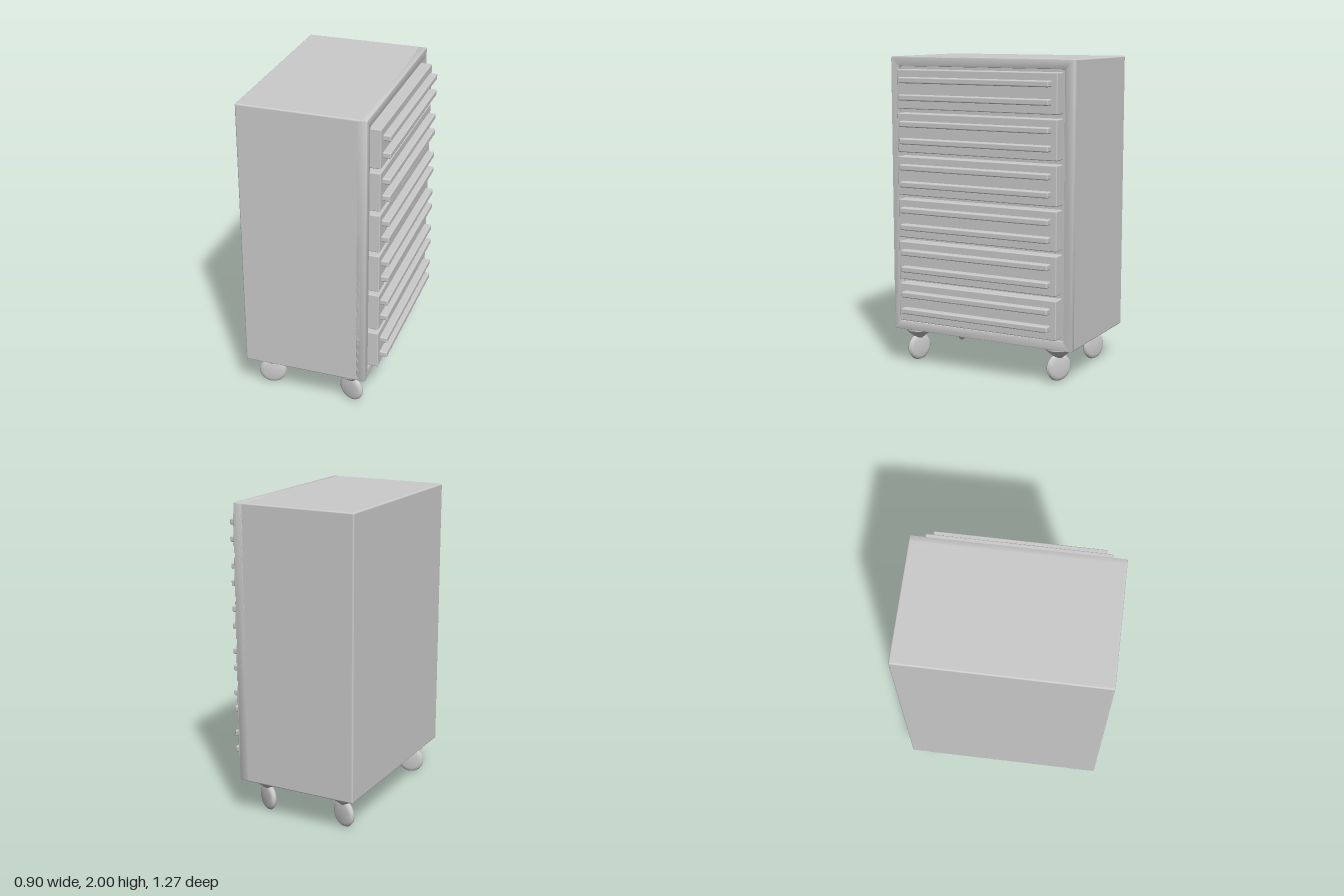
import * as THREE from 'three';
import { RoundedBoxGeometry } from 'three/addons/geometries/RoundedBoxGeometry.js';
import { toCreasedNormals } from 'three/addons/utils/BufferGeometryUtils.js';

const material = new THREE.MeshStandardMaterial({ color: 0xcccccc });

function part(name, geometry, parent, x = 0, y = 0, z = 0) {
  const mesh = new THREE.Mesh(geometry, material);
  mesh.name = name;
  mesh.position.set(x, y, z);
  parent.add(mesh);
  return mesh;
}

// Rounded rectangle outline, centred on the origin
function roundedRect(target, w, h, r) {
  const x = w / 2 - r, y = h / 2 - r, q = Math.PI / 2;
  target.absarc(x, y, r, 0, q);
  target.absarc(-x, y, r, q, 2 * q);
  target.absarc(-x, -y, r, 2 * q, 3 * q);
  target.absarc(x, -y, r, 3 * q, 4 * q);
  target.closePath();
  return target;
}

// Front border standing proud of the recess that holds the drawers
function frameGeometry() {
  const shape = roundedRect(new THREE.Shape(), 1.27, 1.77, 0.01);
  shape.holes.push(roundedRect(new THREE.Path(), 1.15, 1.65, 0.004));
  const g = new THREE.ExtrudeGeometry(shape, {
    depth: 0.052, bevelEnabled: true, bevelThickness: 0.006, bevelSize: 0.006,
    bevelOffset: -0.006, bevelSegments: 2, curveSegments: 3,
  });
  return toCreasedNormals(g.rotateY(Math.PI / 2), 0.6);
}

function lathe(points, segments) {
  const g = new THREE.LatheGeometry(points.map(([r, y]) => new THREE.Vector2(r, y)), segments);
  return toCreasedNormals(g, 0.6);
}

export function createModel() {
  const model = new THREE.Group();
  model.name = 'drawerCabinet';

  // Cabinet shell
  part('cabinetBody', new RoundedBoxGeometry(0.775, 1.77, 1.27, 3, 0.01), model, -0.0675, 1.115, 0);
  part('frontFrame', frameGeometry(), model, 0.287, 1.115, 0);

  // Six drawers, each with two long rails
  const drawerGeo = new RoundedBoxGeometry(0.11, 0.246, 1.11, 2, 0.006);
  const railGeo = new RoundedBoxGeometry(0.07, 0.037, 1.034, 3, 0.008);
  for (let i = 0; i < 6; i++) {
    const drawer = new THREE.Group();
    drawer.name = 'drawer' + (i + 1);
    drawer.position.y = 1.799 - i * 0.2736;
    part('drawerFront', drawerGeo, drawer, 0.348, 0, 0);
    part('upperRail', railGeo, drawer, 0.415, 0.058, 0);
    part('lowerRail', railGeo, drawer, 0.415, -0.05, 0);
    model.add(drawer);
  }

  // Swivel casters: a conical mount over a thin domed wheel, each turned differently
  const mountGeo = lathe([[0, -0.082], [0.022, -0.08], [0.035, -0.07], [0.08, -0.031],
    [0.087, -0.022], [0.087, 0.004], [0, 0.004]], 32);
  const wheelGeo = lathe([[0, -0.021], [0.06, -0.021], [0.076, -0.017], [0.084, -0.01], [0.088, 0],
    [0.084, 0.01], [0.076, 0.017], [0.06, 0.021], [0, 0.021]], 40).rotateX(Math.PI / 2);
  const casters = [
    ['frontLeftCaster', 0.222, 0.525, -20],
    ['frontRightCaster', -0.325, 0.507, 14],
    ['backLeftCaster', 0.222, -0.493, -30],
    ['backRightCaster', -0.325, -0.493, -21],
  ];
  for (const [name, x, z, yaw] of casters) {
    const caster = new THREE.Group();
    caster.name = name;
    caster.position.set(x, 0, z);
    caster.rotation.y = THREE.MathUtils.degToRad(yaw);
    part('mount', mountGeo, caster, 0, 0.232, 0);
    part('wheel', wheelGeo, caster, 0, 0.09, 0);
    model.add(caster);
  }
  return model;
}
